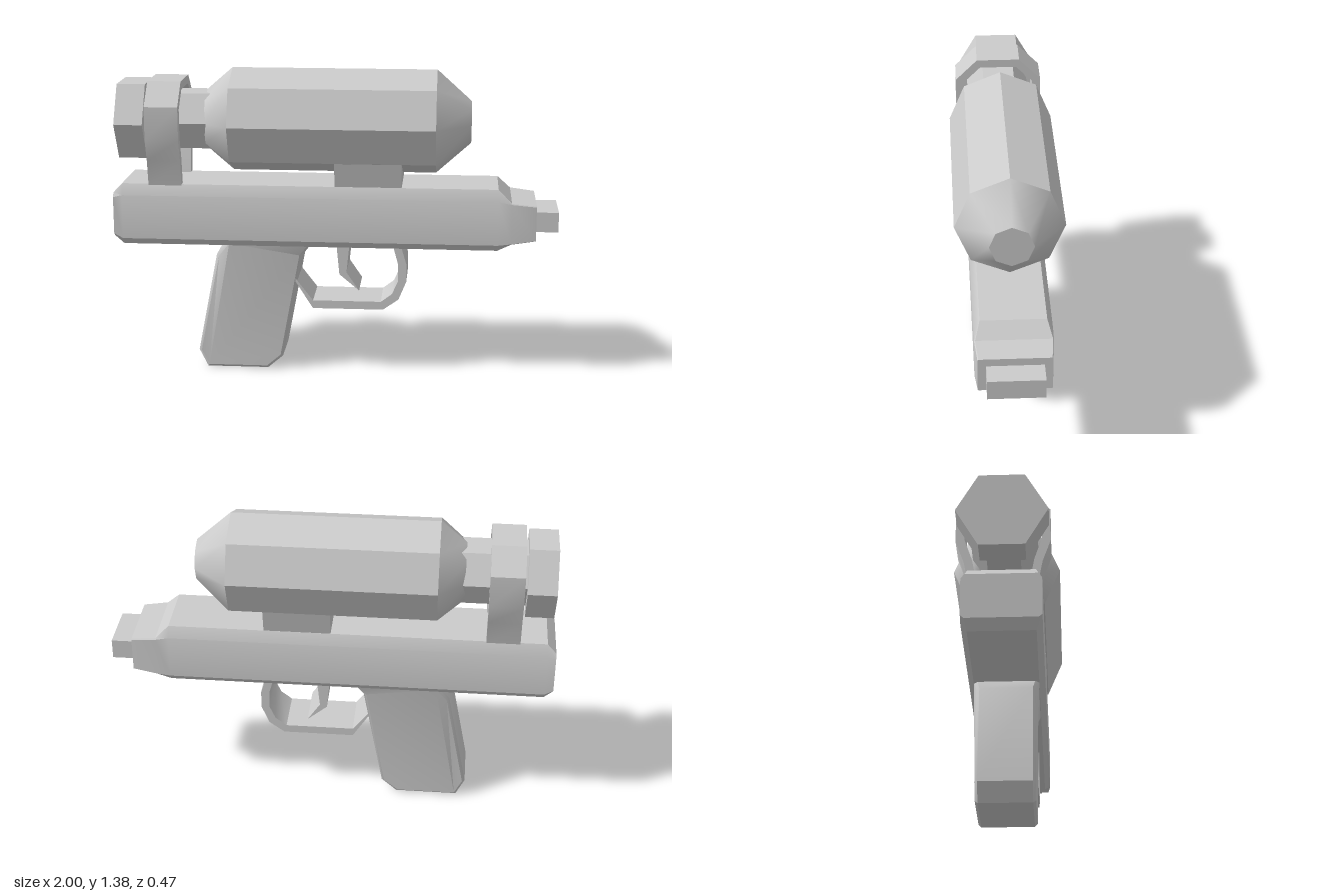
import * as THREE from 'three';
import { toCreasedNormals } from 'three/addons/utils/BufferGeometryUtils.js';

const material = new THREE.MeshStandardMaterial({ color: 0xcccccc });
const CREASE = 0.65;

function part(group, name, geometry, crease = CREASE) {
  const mesh = new THREE.Mesh(toCreasedNormals(geometry, crease), material);
  mesh.name = name;
  group.add(mesh);
}

// Chamfered box sections [x, bottom, top, halfDepth, chamferZ, chamferY] joined along x
function loft(sections) {
  const pos = [], idx = [], n = 8;
  for (const [x, b, t, w, cz, cy] of sections) {
    const v = w - cz;
    const loop = [[w, b + cy * 0.6], [v, b], [-v, b], [-w, b + cy * 0.6],
      [-w, t - cy], [-v, t], [v, t], [w, t - cy]];
    for (const [z, y] of loop) pos.push(x, y, z);
  }
  for (let i = 0; i < sections.length - 1; i++) {
    for (let j = 0; j < n; j++) {
      const a = i * n + j, b = i * n + (j + 1) % n;
      idx.push(a, b, b + n, a, b + n, a + n);
    }
  }
  const e = (sections.length - 1) * n;
  for (let j = 1; j < n - 1; j++) idx.push(0, j + 1, j, e, e + j, e + j + 1);
  const g = new THREE.BufferGeometry();
  g.setAttribute('position', new THREE.Float32BufferAttribute(pos, 3));
  g.setIndex(idx);
  return g;
}

// Faceted turned part [x, radius] around the tank axis
function turned(profile, sides) {
  const g = new THREE.LatheGeometry(profile.map(([x, r]) => new THREE.Vector2(r, x)), sides);
  return g.rotateZ(-Math.PI / 2).translate(0, 1.147, 0);
}

// Side outline extruded from z0 to z1
function plate(points, z0, z1, bevel = 0) {
  const shape = new THREE.Shape(points.map(([x, y]) => new THREE.Vector2(x, y)));
  return new THREE.ExtrudeGeometry(shape, {
    depth: z1 - z0 - 2 * bevel, bevelEnabled: bevel > 0, bevelSize: bevel,
    bevelThickness: bevel, bevelOffset: -bevel, bevelSegments: 1,
  }).translate(0, 0, z0 + bevel);
}

export function createModel() {
  const model = new THREE.Group();
  model.name = 'toyBlaster';

  // Long receiver with a tapered nose
  part(model, 'body', loft([
    [-1, 0.63, 0.83, 0.165, 0.015, 0.02],
    [-0.96, 0.59, 0.87, 0.165, 0.025, 0.05],
    [0.73, 0.59, 0.87, 0.165, 0.025, 0.05],
    [0.79, 0.625, 0.812, 0.165, 0.004, 0.004],
    [0.9, 0.64, 0.8, 0.155, 0.004, 0.004],
  ]));
  part(model, 'muzzle', new THREE.BoxGeometry(0.12, 0.09, 0.24).translate(0.94, 0.72, 0));

  // Tank, neck and cap
  part(model, 'tank', turned([
    [-0.585, 0], [-0.585, 0.135], [-0.47, 0.235], [0.45, 0.235], [0.605, 0.095], [0.605, 0],
  ], 8));
  part(model, 'tankNeck', turned([[-0.87, 0], [-0.87, 0.144], [-0.56, 0.144], [-0.56, 0]], 6));
  part(model, 'tankCap', turned([[-0.98, 0], [-0.98, 0.194], [-0.852, 0.194], [-0.852, 0]], 6));

  // Flared block carrying the tank
  const block = new THREE.BoxGeometry(0.3, 0.14, 0.27).translate(0.15, 0.92, 0);
  const bp = block.attributes.position;
  for (let i = 0; i < bp.count; i++) {
    if (bp.getY(i) > 0.92) bp.setZ(i, Math.sign(bp.getZ(i)) * 0.165);
  }
  part(model, 'tankMount', block);

  // Strap arching over the neck
  const outer = [[0.14, 0.85], [0.165, 0.98], [0.2, 1.08], [0.2, 1.23], [0.1, 1.33]];
  const inner = [[0.105, 0.85], [0.13, 0.99], [0.163, 1.09], [0.163, 1.215], [0.085, 1.292]];
  const flip = (pts) => pts.map(([x, y]) => [-x, y]);
  const arch = [...outer, ...flip(outer).reverse(), ...flip(inner), ...inner.slice().reverse()];
  part(model, 'neckStrap', plate(arch, -0.84, -0.69).rotateY(Math.PI / 2), 0.5);

  // Raked grip, widening where it meets the body
  const grip = plate([
    [-0.59, 0], [-0.31, 0], [-0.24, 0.06], [-0.15, 0.54], [-0.1, 0.61],
    [-0.485, 0.61], [-0.54, 0.54], [-0.63, 0.08],
  ], -0.125, 0.125, 0.012);
  const gp = grip.attributes.position;
  for (let i = 0; i < gp.count; i++) {
    if (gp.getY(i) > 0.57) gp.setZ(i, gp.getZ(i) * 1.12);
  }
  part(model, 'grip', grip);

  // Trigger guard and trigger
  part(model, 'triggerGuard', plate([
    [-0.18, 0.42], [-0.1, 0.295], [0.22, 0.295], [0.29, 0.345], [0.325, 0.43], [0.325, 0.51],
    [0.295, 0.61], [0.26, 0.61], [0.287, 0.51], [0.287, 0.43], [0.26, 0.37], [0.21, 0.332],
    [-0.1, 0.332], [-0.18, 0.435],
  ], -0.1, 0.122), 0.5);
  part(model, 'trigger', plate([
    [0.005, 0.61], [0.02, 0.455], [0.11, 0.38], [0.052, 0.465], [0.067, 0.61],
  ], -0.11, 0.11), 0.5);

  return model;
}
